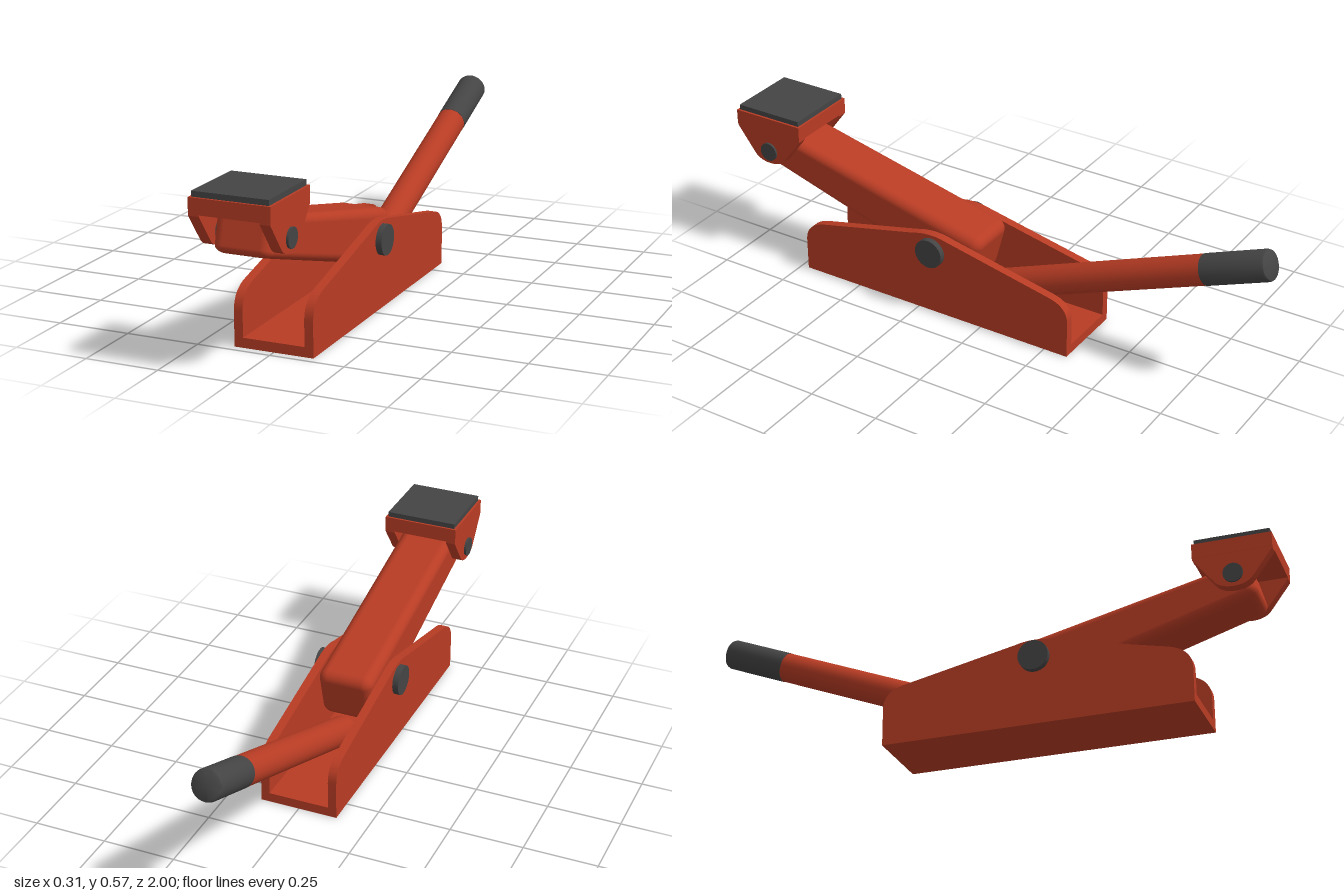
import * as THREE from 'three';
import { toCreasedNormals } from 'three/addons/utils/BufferGeometryUtils.js';
import { RoundedBoxGeometry } from 'three/addons/geometries/RoundedBoxGeometry.js';

const red = new THREE.MeshStandardMaterial({ name: 'red paint', color: 0xb83c24 });
const grey = new THREE.MeshStandardMaterial({ name: 'dark grey', color: 0x444444 });

export function createModel() {
  const model = new THREE.Group();
  model.name = 'floorJack';

  const add = (name, geometry, material, x = 0, y = 0, z = 0) => {
    const mesh = new THREE.Mesh(geometry, material);
    mesh.name = name;
    mesh.position.set(x, y, z);
    model.add(mesh);
    return mesh;
  };

  // Side plate: profile drawn in (z, y), thickness along x, centred on x = 0
  const plate = (shape, thickness) => {
    const g = new THREE.ExtrudeGeometry(shape, { depth: thickness, bevelEnabled: false, curveSegments: 12 });
    g.translate(0, 0, -thickness / 2);
    g.rotateY(-Math.PI / 2);
    return toCreasedNormals(g, 0.5);
  };

  // Horizontal pivot pin along x
  const pin = (name, radius, length, y, z) =>
    add(name, new THREE.CylinderGeometry(radius, radius, length, 32).rotateZ(Math.PI / 2), grey, 0, y, z);

  // Base channel: two peaked rails and a floor
  const rail = new THREE.Shape();
  rail.moveTo(-0.337, 0);
  rail.lineTo(0.722, 0);
  rail.lineTo(0.722, 0.115);
  rail.quadraticCurveTo(0.722, 0.183, 0.64, 0.201);
  rail.lineTo(0.27, 0.286);
  rail.quadraticCurveTo(0.2, 0.309, 0.13, 0.29);
  rail.lineTo(-0.27, 0.206);
  rail.quadraticCurveTo(-0.337, 0.19, -0.337, 0.13);
  rail.closePath();
  const railGeometry = plate(rail, 0.03);
  add('baseFloor', new THREE.BoxGeometry(0.21, 0.033, 1.059), red, 0, 0.0165, 0.1925);

  // Saddle flanges narrow down around the saddle pin
  const flange = new THREE.Shape();
  flange.moveTo(0.998, 0.51);
  flange.lineTo(0.998, 0.495);
  flange.lineTo(0.93, 0.405);
  flange.quadraticCurveTo(0.91, 0.379, 0.866, 0.379);
  flange.quadraticCurveTo(0.822, 0.379, 0.802, 0.405);
  flange.lineTo(0.734, 0.495);
  flange.lineTo(0.734, 0.51);
  flange.closePath();
  const flangeGeometry = plate(flange, 0.035);

  for (const [side, s] of [['left', 1], ['right', -1]]) {
    add(side + 'BaseRail', railGeometry, red, s * 0.12);
    add(side + 'SaddleFlange', flangeGeometry, red, s * 0.116);
  }

  // Saddle top and rubber pad
  add('saddleTop', new THREE.BoxGeometry(0.268, 0.052, 0.265), red, 0, 0.526, 0.866);
  add('saddlePad', new THREE.BoxGeometry(0.252, 0.018, 0.25), grey, 0, 0.561, 0.866);

  pin('basePin', 0.052, 0.312, 0.235, 0.195);
  pin('saddlePin', 0.033, 0.282, 0.425, 0.866);

  // Lift arm: rounded box that gets thinner towards the saddle
  const backEnd = new THREE.Vector3(0, 0.2, 0.05);
  const frontEnd = new THREE.Vector3(0, 0.433, 0.92);
  const length = backEnd.distanceTo(frontEnd);
  const armGeometry = new RoundedBoxGeometry(0.196, 0.192, length, 6, 0.035);
  const p = armGeometry.attributes.position;
  for (let i = 0; i < p.count; i++) {
    const t = p.getZ(i) / length + 0.5;
    p.setY(i, p.getY(i) * (1 - 0.35 * t));
  }
  const middle = backEnd.clone().lerp(frontEnd, 0.5);
  const arm = add('liftArm', armGeometry, red, 0, middle.y, middle.z);
  arm.rotation.x = -Math.atan2(frontEnd.y - backEnd.y, frontEnd.z - backEnd.z);

  // Handle and grip share one sloping axis
  const handleStart = new THREE.Vector3(0, 0.093, 0.025);
  const handleEnd = new THREE.Vector3(0, 0.497, -0.981);
  const axis = handleEnd.clone().sub(handleStart);
  const reach = axis.length();
  const turn = new THREE.Quaternion().setFromUnitVectors(new THREE.Vector3(0, 1, 0), axis.normalize());
  const gripStart = reach * 0.782;

  const handle = add('handle', new THREE.CylinderGeometry(0.051, 0.051, gripStart, 32), red);
  handle.position.copy(handleStart).addScaledVector(axis, gripStart / 2);
  handle.quaternion.copy(turn);

  const gripLength = reach - gripStart;
  const profile = [[0, 0], [0.052, 0], [0.052, gripLength - 0.012], [0.049, gripLength - 0.004],
    [0.042, gripLength], [0, gripLength]].map(([r, y]) => new THREE.Vector2(r, y));
  const grip = add('handleGrip', toCreasedNormals(new THREE.LatheGeometry(profile, 32), 0.6), grey);
  grip.position.copy(handleStart).addScaledVector(axis, gripStart);
  grip.quaternion.copy(turn);

  return model;
}
